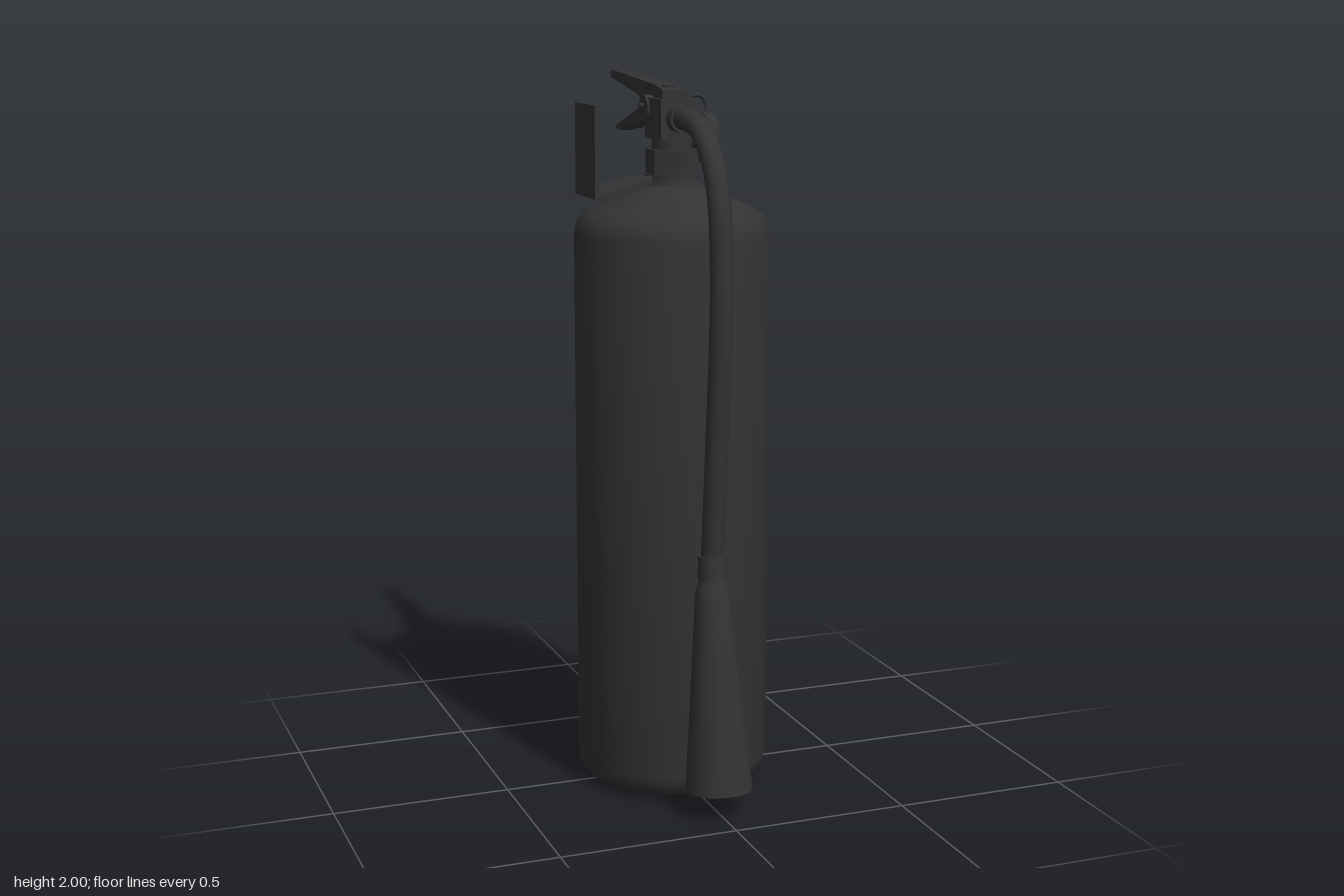
import * as THREE from 'three';
import { toCreasedNormals } from 'three/addons/utils/BufferGeometryUtils.js';

const mat = new THREE.MeshStandardMaterial({ color: 0x333333 });
const thinMat = new THREE.MeshStandardMaterial({ color: 0x333333, side: THREE.DoubleSide });
const v2 = (p) => new THREE.Vector2(p[0], p[1]);

export function createModel() {
  const model = new THREE.Group();

  const add = (name, geo, pos = [0, 0, 0], rot = [0, 0, 0], material = mat) => {
    const mesh = new THREE.Mesh(geo, material);
    mesh.name = name;
    mesh.position.set(...pos);
    mesh.rotation.set(...rot);
    model.add(mesh);
    return mesh;
  };
  const lathe = (pts, seg) => toCreasedNormals(new THREE.LatheGeometry(pts.map(v2), seg), 0.6);
  const cyl = (r, h, seg = 20) => new THREE.CylinderGeometry(r, r, h, seg);

  // Side profile given as [z, y], extruded across x; half width runs from w0 to w1 along z
  const lever = (pts, w0, w1) => {
    const geo = new THREE.ExtrudeGeometry(new THREE.Shape(pts.map(([z, y]) => new THREE.Vector2(-z, y))),
      { depth: 2, bevelEnabled: false });
    geo.translate(0, 0, -1).rotateY(Math.PI / 2);
    const p = geo.attributes.position;
    const zMax = pts[0][0];
    for (let i = 0; i < p.count; i++) {
      const t = (zMax - p.getZ(i)) / (zMax + 0.465);
      p.setX(i, p.getX(i) * (w0 + (w1 - w0) * t));
    }
    geo.computeVertexNormals();
    return toCreasedNormals(geo, 0.5);
  };

  // Cylinder body with rounded foot and shoulder
  add('tank', lathe([[0, 0], [0.215, 0], [0.245, 0.012], [0.265, 0.035], [0.272, 0.065],
    [0.272, 1.57], [0.266, 1.6], [0.25, 1.625], [0.22, 1.645], [0.1, 1.692], [0.08, 1.705],
    [0.07, 1.73], [0.07, 1.735], [0, 1.735]], 32));

  // Valve
  add('neckNut', toCreasedNormals(cyl(0.074, 0.07, 6), 0.5), [0, 1.768, 0]);
  add('valveBody', cyl(0.056, 0.14), [0, 1.85, 0]);
  add('valveHead', new THREE.BoxGeometry(0.1, 0.11, 0.13), [0, 1.885, -0.015]);
  add('valveStem', cyl(0.022, 0.08, 12), [0, 1.935, -0.02]);
  add('leverPivot', cyl(0.037, 0.114), [0, 1.91, -0.075], [0, 0, Math.PI / 2]);
  add('hoseFitting', cyl(0.037, 0.06), [0, 1.888, 0.06], [Math.PI / 2, 0, 0]);

  // Squeeze lever
  add('topLever', lever([[0.025, 1.905], [0.025, 1.965], [-0.06, 1.977], [-0.45, 2],
    [-0.465, 1.995], [-0.46, 1.978], [-0.22, 1.945], [-0.1, 1.915]], 0.036, 0.018));

  // Carrying handle with finger scallops underneath
  const grip = [[-0.05, 1.87], [-0.05, 1.935], [-0.1, 1.93], [-0.42, 1.84], [-0.415, 1.832]];
  for (let i = 0; i < 4; i++) {
    const z = -0.37 + i * 0.06;
    const y = 1.833 + i * 0.009;
    grip.push([z - 0.012, y], [z, y - 0.003], [z + 0.02, y + 0.004], [z + 0.035, y + 0.014]);
  }
  add('carryHandle', lever(grip, 0.034, 0.018));

  // Pressure gauge
  const side = [0, 0, -Math.PI / 2];
  add('gaugeStem', cyl(0.026, 0.06), [0.062, 1.83, 0], side);
  add('gauge', lathe([[0, 0], [0.062, 0], [0.07, 0.006], [0.07, 0.03], [0.064, 0.036],
    [0.056, 0.036], [0.054, 0.031], [0, 0.031]], 28), [0.083, 1.83, 0], side);

  // Safety pin
  add('safetyPin', cyl(0.007, 0.15, 10), [0.005, 1.918, -0.073], side);
  add('pinRing', new THREE.TorusGeometry(0.029, 0.006, 8, 24), [0.1, 1.915, -0.073]);

  // Discharge hose
  const path = [[1.888, 0.05], [1.888, 0.13], [1.865, 0.22], [1.8, 0.3], [1.69, 0.352],
    [1.5, 0.372], [1.3, 0.366], [1, 0.34], [0.7, 0.312]];
  const curve = new THREE.CatmullRomCurve3(path.map(([y, z]) => new THREE.Vector3(0, y, z)));
  add('hose', new THREE.TubeGeometry(curve, 56, 0.031, 16, false));

  // Collar and open horn share one tilted axis
  const tilt = -0.097;
  add('hornCollar', cyl(0.038, 0.07), [0, 0.69, 0.312], [tilt, 0, 0]);
  add('hornClip', new THREE.BoxGeometry(0.05, 0.045, 0.05), [0, 0.675, 0.285]);
  add('horn', lathe([[0, 0.57], [0.036, 0.5], [0.085, 0.004], [0.085, 0], [0.093, 0],
    [0.05, 0.53], [0.046, 0.56], [0.036, 0.59], [0, 0.59]], 20),
  [0, 0.073, 0.372], [tilt, 0, 0], thinMat);

  // Wall bracket: sloping tongue with clipped corners, upright plate and button
  const tongue = new THREE.Shape([[-0.17, -0.085], [-0.02, -0.085], [0, -0.065], [0, -0.035],
    [0.05, -0.035], [0.05, 0.035], [0, 0.035], [0, 0.065], [-0.02, 0.085], [-0.17, 0.085]].map(v2));
  const tongueGeo = new THREE.ExtrudeGeometry(tongue, { depth: 0.012, bevelEnabled: false });
  tongueGeo.rotateX(-Math.PI / 2);
  add('bracketTongue', tongueGeo, [-0.08, 1.718, 0], [0, 0, 0.23]);
  add('bracketCollar', cyl(0.078, 0.014, 24), [0, 1.728, 0]);
  add('bracketPlate', new THREE.BoxGeometry(0.013, 0.25, 0.17), [-0.245, 1.805, 0]);
  add('bracketButton', lathe([[0, 0], [0.043, 0], [0.038, 0.008], [0.024, 0.014], [0, 0.016]].reverse().map(([r, y]) => [r, -y]).reverse().map(([r, y]) => [r, -y]).slice(1), 20),
    [-0.239, 1.85, 0], side);

  return model;
}
